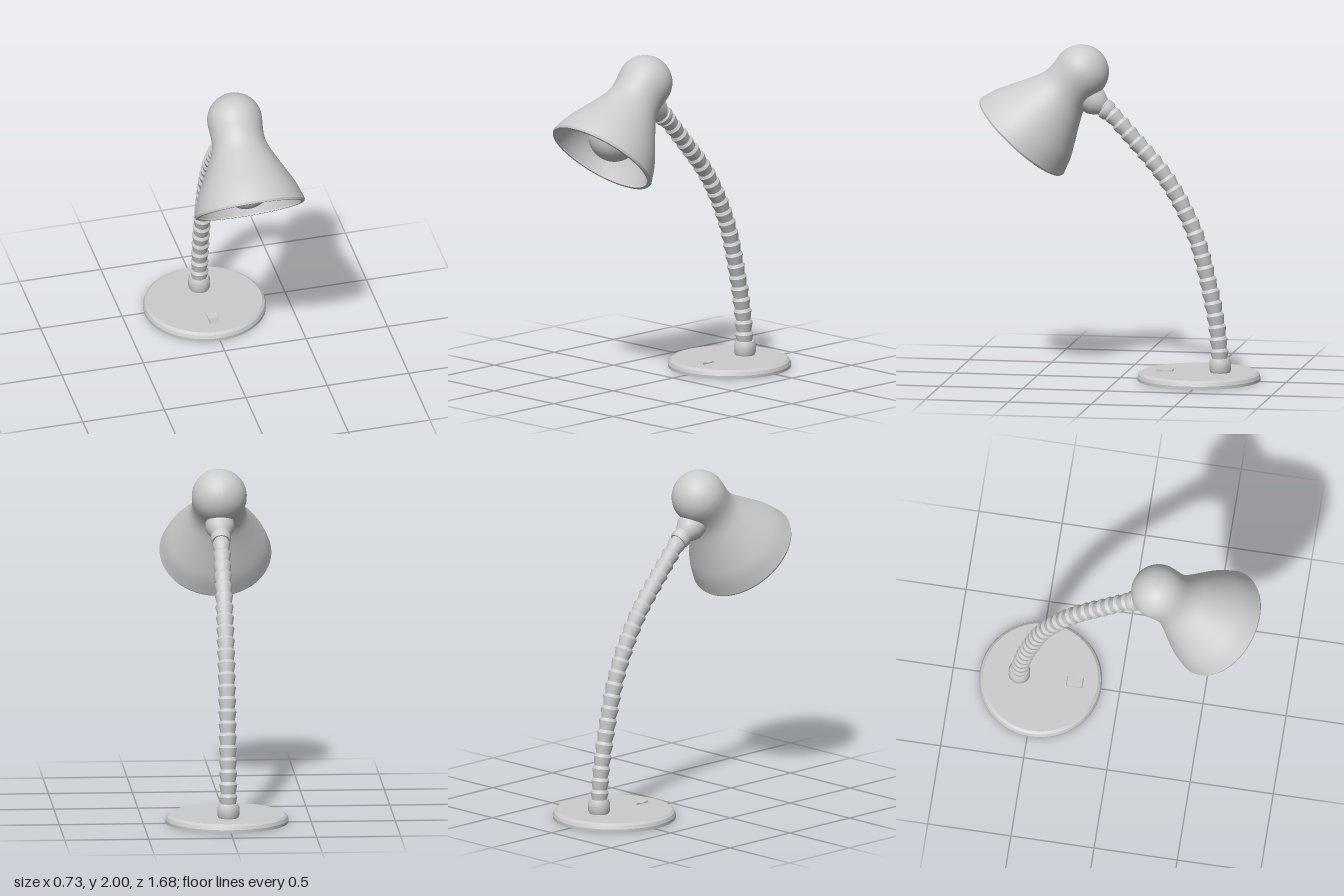
import * as THREE from 'three';
import { toCreasedNormals } from 'three/addons/utils/BufferGeometryUtils.js';

const material = new THREE.MeshStandardMaterial({ color: 0xcccccc });
const vec2 = ([x, y]) => new THREE.Vector2(x, y);

function part(name, geometry, parent) {
  const mesh = new THREE.Mesh(geometry, material);
  mesh.name = name;
  parent.add(mesh);
  return mesh;
}

// Turned part; the profile runs from bottom to top as [radius, height]
function turned(profile, sides = 48, crease = 0.6) {
  return toCreasedNormals(new THREE.LatheGeometry(profile.map(vec2), sides), crease);
}

// Flexible arm: a tube whose radius swells and steps in at every ring
function ribbedArm(curve, rings) {
  const steps = 8, sides = 20, radius = 0.05;
  const geometry = new THREE.TubeGeometry(curve, rings * steps, radius, sides);
  const pos = geometry.attributes.position, nor = geometry.attributes.normal;
  for (let i = 0; i < pos.count; i++) {
    const phase = (Math.floor(i / (sides + 1)) % steps) / steps;
    const r = 0.043 + 0.011 * (phase < 0.75 ? phase / 0.75 : (1 - phase) / 0.25);
    const d = r - radius;
    pos.setXYZ(i, pos.getX(i) + nor.getX(i) * d, pos.getY(i) + nor.getY(i) * d, pos.getZ(i) + nor.getZ(i) * d);
  }
  return toCreasedNormals(geometry, 0.7);
}

export function createModel() {
  const lamp = new THREE.Group();
  lamp.name = 'deskLamp';

  // Round foot with a bevelled edge
  const base = part('base', turned([[0, 0], [0.365, 0], [0.366, 0.018], [0.358, 0.038], [0.342, 0.05], [0, 0.05]], 64, 0.4), lamp);
  base.position.z = -0.475;

  // Rocker switch on the foot
  const rocker = new THREE.Shape([[-0.05, 0], [0.05, 0], [0.045, 0.012], [0, 0.007], [-0.045, 0.014]].map(vec2));
  const switchGeometry = new THREE.ExtrudeGeometry(rocker, { depth: 0.06, bevelEnabled: false });
  switchGeometry.translate(0, 0, -0.03).rotateY(Math.PI / 2);
  part('switch', switchGeometry, lamp).position.set(0, 0.049, -0.27);

  // Collar where the arm enters the foot
  const collar = part('baseCollar', turned([[0.058, 0], [0.065, 0.015], [0.065, 0.065], [0.055, 0.085], [0, 0.085]], 24), lamp);
  collar.position.set(0, 0.05, -0.603);

  // Gooseneck
  const curve = new THREE.CatmullRomCurve3([
    [0.05, -0.605], [0.281, -0.589], [0.546, -0.541], [0.891, -0.446],
    [1.194, -0.286], [1.448, -0.074], [1.607, 0.074], [1.64, 0.115],
  ].map(([y, z]) => new THREE.Vector3(0, y, z)));
  part('gooseneckArm', ribbedArm(curve, 25), lamp);

  // Joint between arm and shade
  const joint = part('shadeJoint', turned([
    [0, 0], [0.052, 0], [0.06, 0.015], [0.06, 0.04], [0.05, 0.05], [0.065, 0.07], [0.085, 0.11], [0.085, 0.2], [0, 0.2],
  ], 24), lamp);
  joint.position.set(0, 1.595, 0.06);
  joint.rotation.x = 0.98;

  // Head, tilted so that its opening faces forward and down
  const head = new THREE.Group();
  head.name = 'head';
  head.position.set(0, 1.43, 0.6);
  head.rotation.x = -0.734;
  lamp.add(head);

  // Bell outline: flared skirt, narrow neck and round cap
  const skirt = new THREE.SplineCurve([
    [0.333, 0.012], [0.3, 0.11], [0.255, 0.2], [0.21, 0.285], [0.17, 0.37], [0.157, 0.44], [0.163, 0.53],
  ].map(vec2)).getPoints(30).map((p) => [p.x, p.y]);
  const cap = [];
  for (let i = 1; i <= 14; i++) {
    const a = (i / 14) * Math.PI / 2;
    cap.push([0.164 * Math.cos(a), 0.545 + 0.164 * Math.sin(a)]);
  }
  const outer = [...skirt, ...cap];
  const inner = outer.map(([r, y]) => [Math.max(r - 0.022, 0), y - 0.004]).reverse();
  part('shade', turned([...inner, [0.308, 0], [0.328, 0], ...outer], 64), head);

  // Bulb and its socket inside the shade
  part('bulb', new THREE.SphereGeometry(0.157, 40, 28), head).position.y = 0.165;
  part('bulbSocket', new THREE.CylinderGeometry(0.06, 0.075, 0.36, 24), head).position.y = 0.46;

  return lamp;
}
